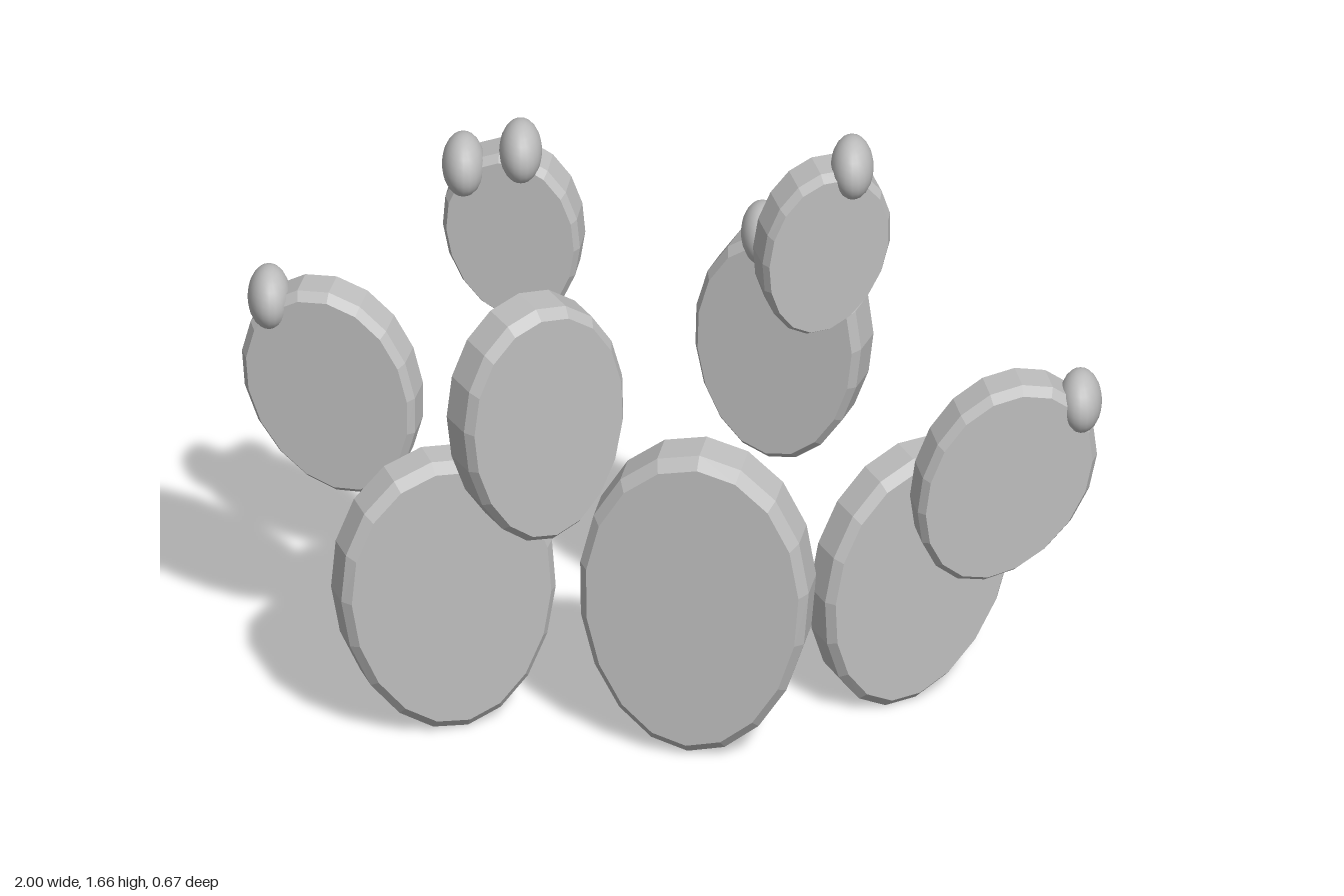
import * as THREE from 'three';

const grey = new THREE.MeshStandardMaterial({ color: 0xbebebe });
grey.name = 'grey';

// Egg-shaped slab with a chamfered front rim, faceted
function padGeometry(halfWidth, halfHeight, thickness) {
  const profile = [[0, -0.5], [1, -0.5], [1, 0.28], [0.93, 0.5], [0, 0.5]]
    .map(([r, h]) => new THREE.Vector2(r, h));
  const geo = new THREE.LatheGeometry(profile, 18).rotateX(Math.PI / 2);
  const p = geo.attributes.position;
  for (let i = 0; i < p.count; i++) {
    const x = p.getX(i), y = p.getY(i);
    // slightly narrower towards the bottom
    p.setXYZ(i, x * halfWidth * (1 + 0.07 * y), y * halfHeight, p.getZ(i) * thickness);
  }
  const flat = geo.toNonIndexed();
  flat.computeVertexNormals();
  return flat;
}

// name, centre, half width, half height, thickness, yaw and roll in degrees
const pads = [
  ['leftFacingBasePad', [0.557, 0.335, -0.167], 0.238, 0.335, 0.1, 27, -14],
  ['middleBasePad', [0.057, 0.42, 0.075], 0.272, 0.405, 0.11, -12, -2],
  ['rightBasePad', [-0.523, 0.38, -0.03], 0.262, 0.37, 0.092, 19, 7],
  ['rightOuterPad', [-0.783, 0.81, -0.23], 0.202, 0.275, 0.095, -15, 17],
  ['rightMiddlePad', [-0.31, 0.97, 0.175], 0.212, 0.32, 0.105, 29, 4],
  ['rightTopPad', [-0.365, 1.365, -0.018], 0.16, 0.225, 0.095, -10, 8],
  ['leftMiddlePad', [0.257, 0.995, -0.125], 0.207, 0.307, 0.1, -22, -4],
  ['leftTopPad', [0.35, 1.333, 0.005], 0.152, 0.22, 0.1, 16, -12],
  ['leftOuterPad', [0.768, 0.745, 0.075], 0.2, 0.27, 0.1, 13, -25],
];

// Fruits sitting on the pad rims
const fruits = [
  [-0.933, 1.03, -0.27], [-0.483, 1.545, -0.02], [-0.35, 1.593, 0],
  [0.42, 1.54, -0.01], [0.212, 1.28, -0.14], [0.95, 0.925, 0.03],
];

export function createModel() {
  const cactus = new THREE.Group();
  cactus.name = 'cactus';

  for (const [name, centre, w, h, t, yaw, roll] of pads) {
    const pad = new THREE.Mesh(padGeometry(w, h, t), grey);
    pad.name = name;
    pad.position.set(...centre);
    // roll within the pad's own plane, then yaw about the vertical
    pad.rotation.set(0, THREE.MathUtils.degToRad(yaw), THREE.MathUtils.degToRad(roll), 'YXZ');
    cactus.add(pad);
  }

  const fruitGeo = new THREE.SphereGeometry(1, 20, 14).scale(0.05, 0.075, 0.082);
  fruits.forEach((centre, i) => {
    const fruit = new THREE.Mesh(fruitGeo, grey);
    fruit.name = `fruit${i + 1}`;
    fruit.position.set(...centre);
    cactus.add(fruit);
  });

  return cactus;
}
